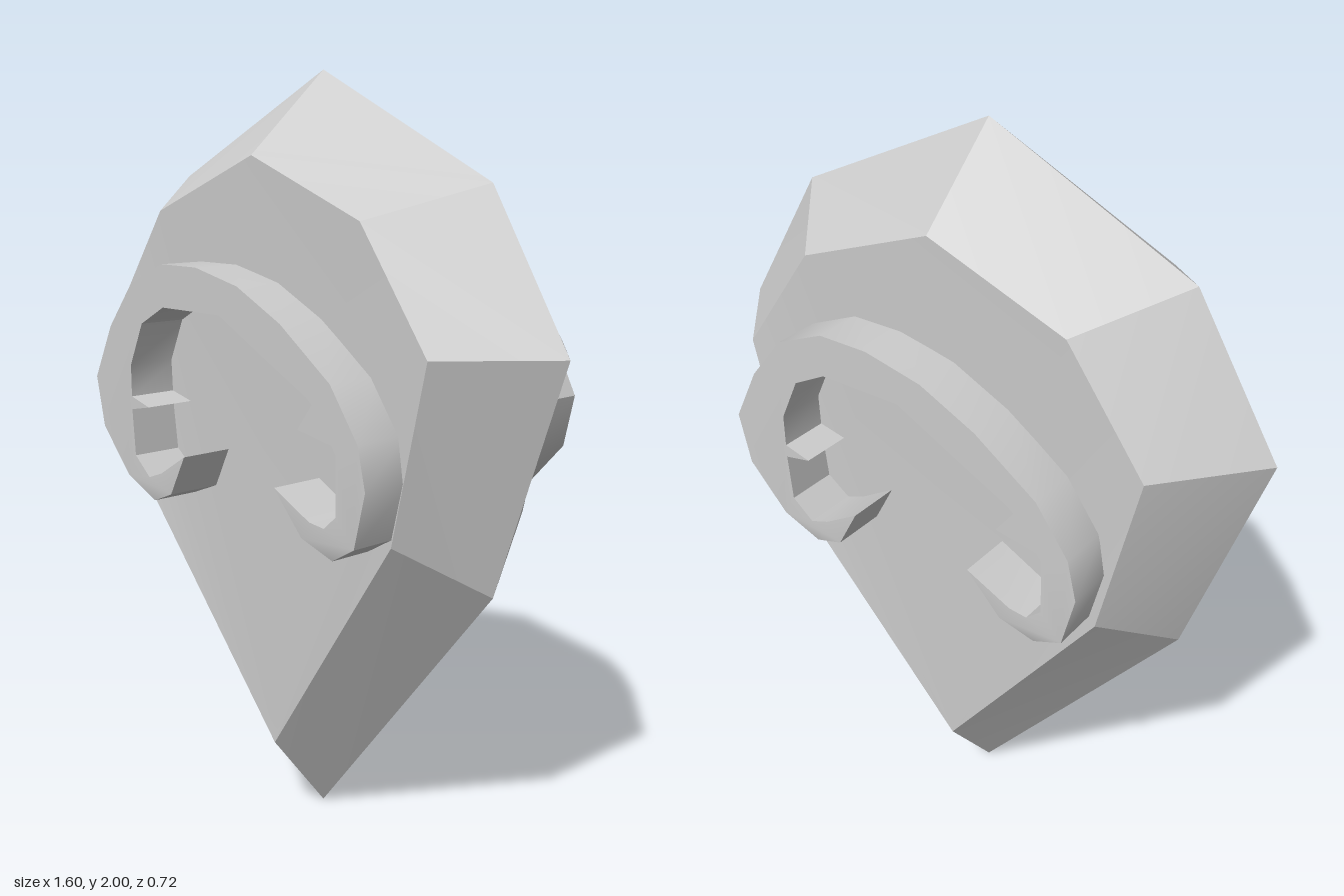
import * as THREE from 'three';
import { toCreasedNormals } from 'three/addons/utils/BufferGeometryUtils.js';

// Half outlines (x >= 0) from bottom tip to top: girdle edge and raised face edge
const GIRDLE = [[0, 0, 0], [0.6, 0.75, 0], [0.8, 1.35, 0], [0.565, 1.73, 0], [0, 2, 0]];
const FACE = [[0, 0.23, 0.18], [0.49, 0.9, 0.24], [0.595, 1.35, 0.24], [0.38, 1.645, 0.24], [0, 1.79, 0.24]];

// Curled crest outline, counter-clockwise is not required
const CREST = [
  // outer edge, left hook tip over the arch to the right hook tip
  [-0.14, 1.03], [-0.2, 0.92], [-0.29, 0.885], [-0.39, 0.94], [-0.5, 1.06], [-0.53, 1.195],
  [-0.455, 1.34], [-0.355, 1.46], [-0.215, 1.52], [-0.075, 1.52], [0.085, 1.485], [0.24, 1.41],
  [0.41, 1.29], [0.5, 1.165], [0.525, 1.06], [0.49, 0.92], [0.4, 0.87], [0.31, 0.91], [0.215, 1.015],
  // inner edge back, with a small barb on each side
  [0.34, 0.955], [0.39, 0.95], [0.43, 0.985], [0.43, 1.13], [0.415, 1.15], [0.3, 1.17],
  [0.35, 1.235], [0.33, 1.25], [0.18, 1.325], [0.015, 1.41], [-0.215, 1.41], [-0.31, 1.36],
  [-0.365, 1.245], [-0.365, 1.16], [-0.29, 1.14], [-0.365, 1.125], [-0.355, 1], [-0.295, 0.95], [-0.24, 0.97],
];

const material = new THREE.MeshStandardMaterial({ color: 0xcccccc });

// Full closed loop from a half outline
function mirrorLoop(half) {
  const left = half.slice(1, -1).reverse().map(([x, y, z]) => [-x, y, z]);
  return [...half, ...left];
}

// Faceted stone: bevel ring plus a face fanned from the lower tip, on both sides
function gemGeometry() {
  const outer = mirrorLoop(GIRDLE), inner = mirrorLoop(FACE);
  const n = outer.length, positions = [];
  for (const side of [1, -1]) {
    const tri = (a, b, c) => {
      for (const p of side > 0 ? [a, b, c] : [a, c, b]) positions.push(p[0], p[1], p[2] * side);
    };
    for (let i = 0; i < n; i++) {
      const j = (i + 1) % n;
      tri(outer[i], outer[j], inner[j]);
      tri(outer[i], inner[j], inner[i]);
      if (i > 0 && j > 0) tri(inner[0], inner[i], inner[j]);
    }
  }
  const geometry = new THREE.BufferGeometry();
  geometry.setAttribute('position', new THREE.Float32BufferAttribute(positions, 3));
  return toCreasedNormals(geometry, 0.25);
}

// Extruded crest whose lowest hook points slope back slightly
function crestGeometry() {
  const shape = new THREE.Shape(CREST.map(([x, y]) => new THREE.Vector2(x, y)));
  const geometry = new THREE.ExtrudeGeometry(shape, { depth: 0.15, bevelEnabled: false });
  geometry.translate(0, 0, 0.21);
  const p = geometry.attributes.position;
  for (let i = 0; i < p.count; i++) {
    if (p.getZ(i) > 0.3) p.setZ(i, p.getZ(i) - Math.max(0, 0.915 - p.getY(i)) * 0.4);
  }
  return toCreasedNormals(geometry, 0.6);
}

export function createModel() {
  const group = new THREE.Group();
  group.name = 'gemCharm';

  const gem = new THREE.Mesh(gemGeometry(), material);
  gem.name = 'gemBody';
  group.add(gem);

  const crest = crestGeometry();
  const front = new THREE.Mesh(crest, material);
  front.name = 'frontCrest';
  group.add(front);

  // Same crest turned half round for the back
  const back = new THREE.Mesh(crest, material);
  back.name = 'backCrest';
  back.rotation.y = Math.PI;
  back.position.x = 0.02;
  group.add(back);

  return group;
}
